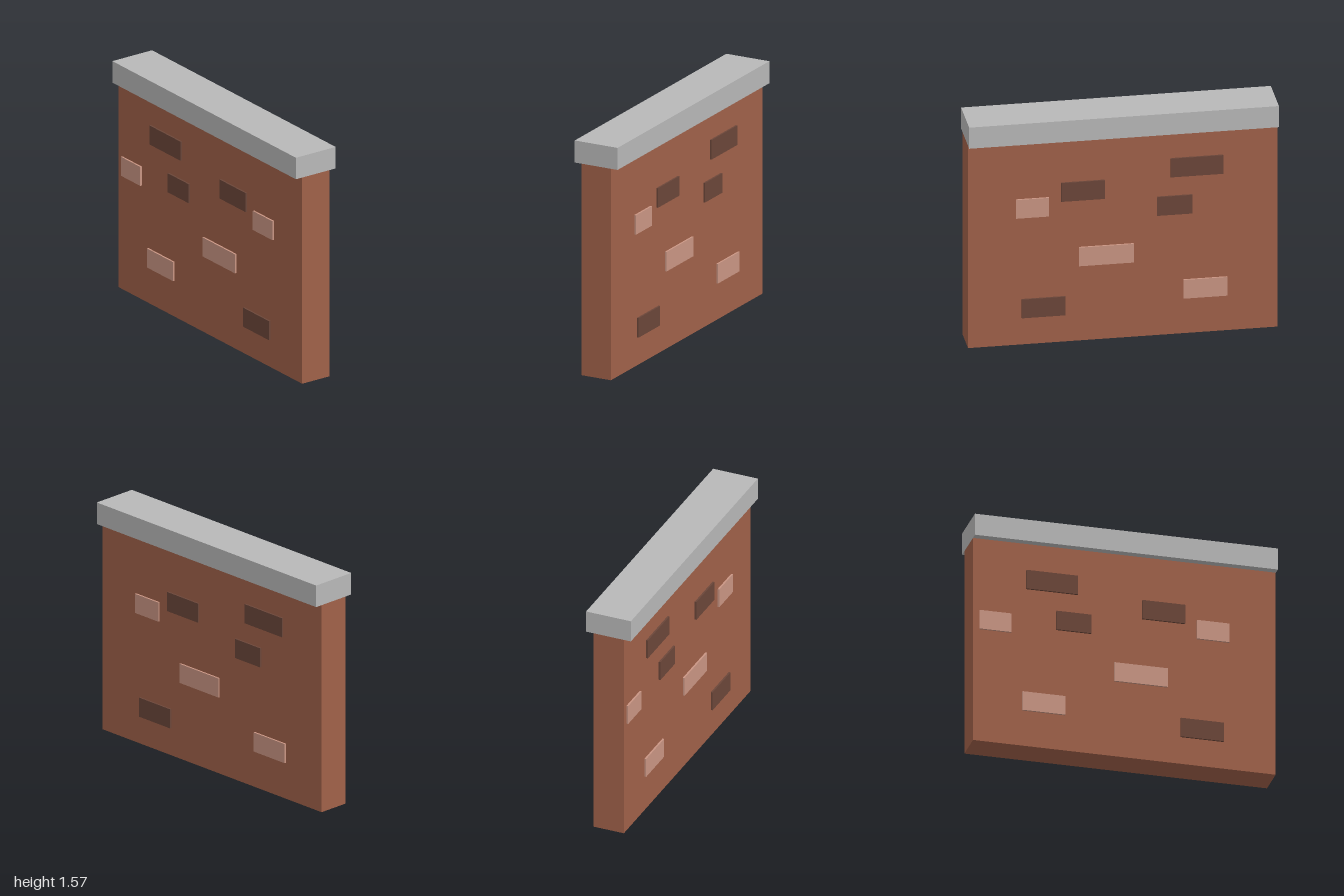
import * as THREE from 'three';

const material = (name, color) => {
  const m = new THREE.MeshStandardMaterial({ color });
  m.name = name;
  return m;
};

export function createModel() {
  const wallRed = material('wall red', 0xa06149);
  const darkBrick = material('dark brick', 0x6b4639);
  const lightBrick = material('light brick', 0xc99583);
  const stone = material('cap stone', 0xb8b8b8);

  const group = new THREE.Group();
  group.name = 'brickWall';

  const addBox = (name, mat, size, position) => {
    const mesh = new THREE.Mesh(new THREE.BoxGeometry(...size), mat);
    mesh.name = name;
    mesh.position.set(...position);
    group.add(mesh);
  };

  const wallHeight = 1.42, wallDepth = 0.213, capHeight = 0.148;

  // Wall body and coping slab
  addBox('wallBody', wallRed, [1.998, wallHeight, wallDepth], [0, wallHeight / 2, 0]);
  addBox('capStone', stone, [2, capHeight, 0.312], [0, wallHeight + capHeight / 2, 0]);

  // Raised bricks: centre x, centre y, width, material, also on the back
  const bricks = [
    [-0.478, 1.168, 0.34, darkBrick, true],
    [0.258, 1.05, 0.282, darkBrick, true],
    [-0.335, 0.905, 0.23, darkBrick, true],
    [0.512, 0.253, 0.283, darkBrick, true],
    [0.584, 0.954, 0.213, lightBrick, true],
    [-0.853, 0.849, 0.21, lightBrick, false],
    [0.107, 0.59, 0.354, lightBrick, true],
    [-0.533, 0.312, 0.283, lightBrick, true],
  ];
  const brickHeight = 0.131, brickDepth = 0.024;
  for (const [x, y, width, mat, onBack] of bricks) {
    for (const side of onBack ? [1, -1] : [1]) {
      addBox(side > 0 ? 'frontBrick' : 'backBrick', mat,
        [width, brickHeight, brickDepth], [x, y, side * wallDepth / 2]);
    }
  }

  return group;
}
